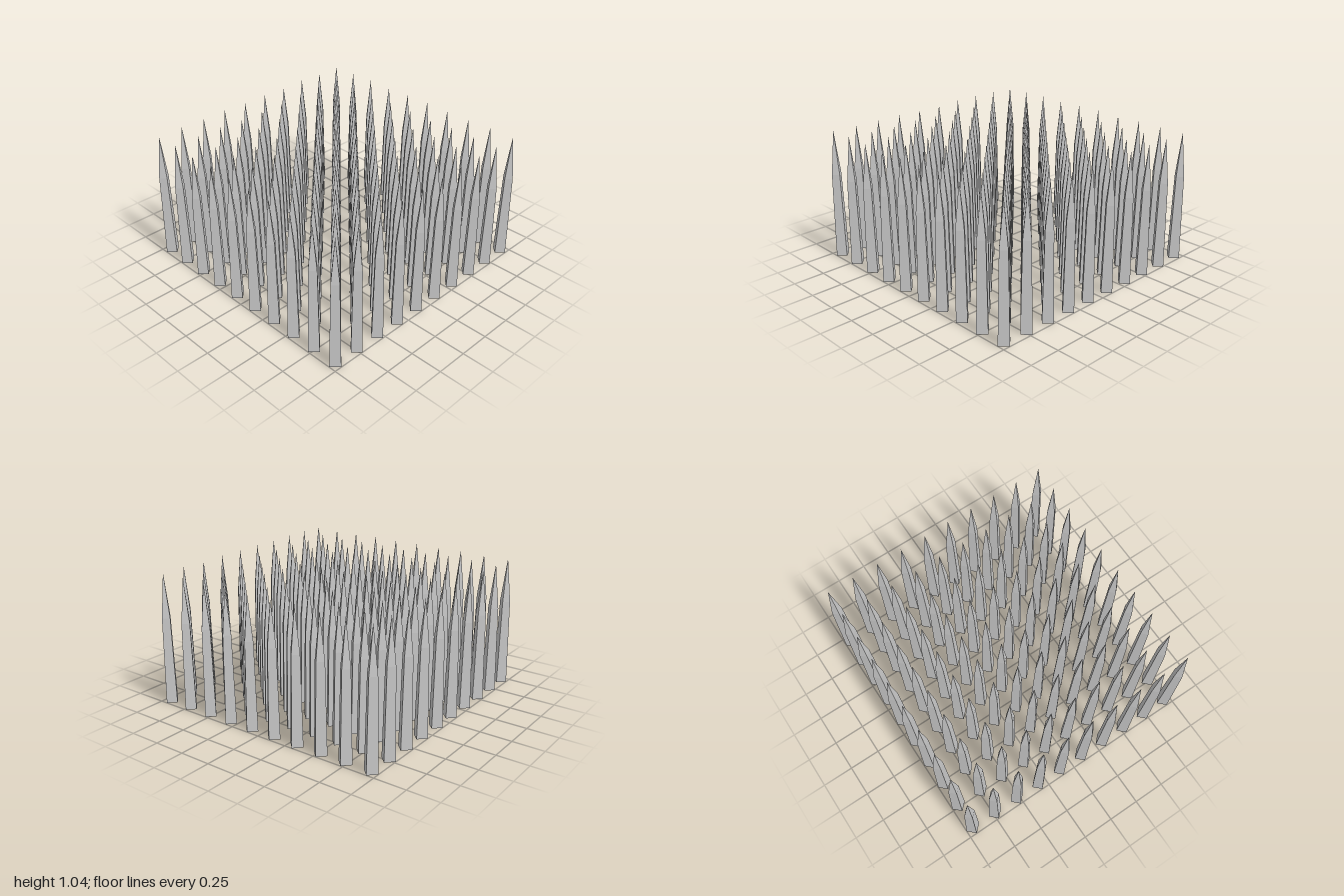
import * as THREE from 'three';

const COUNT = 10;       // spikes along each side of the square field
const RADIUS = 0.058;   // corner radius at the foot
const EDGE = 1 - RADIUS; // centre of the outermost spikes

export function createModel() {
  const model = new THREE.Group();
  model.name = 'spikeField';
  const material = new THREE.MeshStandardMaterial({ color: 0xcccccc, flatShading: true });

  // Four-sided spike: closed foot, tapering shaft, sharp point
  const profile = [[0, 0], [RADIUS, 0], [0.043, 0.69], [0, 1.04]]
    .map(([r, y]) => new THREE.Vector2(r, y));
  const spikeGeometry = new THREE.LatheGeometry(profile, 4);

  // Square grid of identical spikes, one group per row
  const step = (2 * EDGE) / (COUNT - 1);
  for (let j = 0; j < COUNT; j++) {
    const row = new THREE.Group();
    row.name = `spikeRow${j + 1}`;
    row.position.z = -EDGE + j * step;
    for (let i = 0; i < COUNT; i++) {
      const spike = new THREE.Mesh(spikeGeometry, material);
      spike.name = `spike${i + 1}`;
      spike.position.x = -EDGE + i * step;
      row.add(spike);
    }
    model.add(row);
  }
  return model;
}
